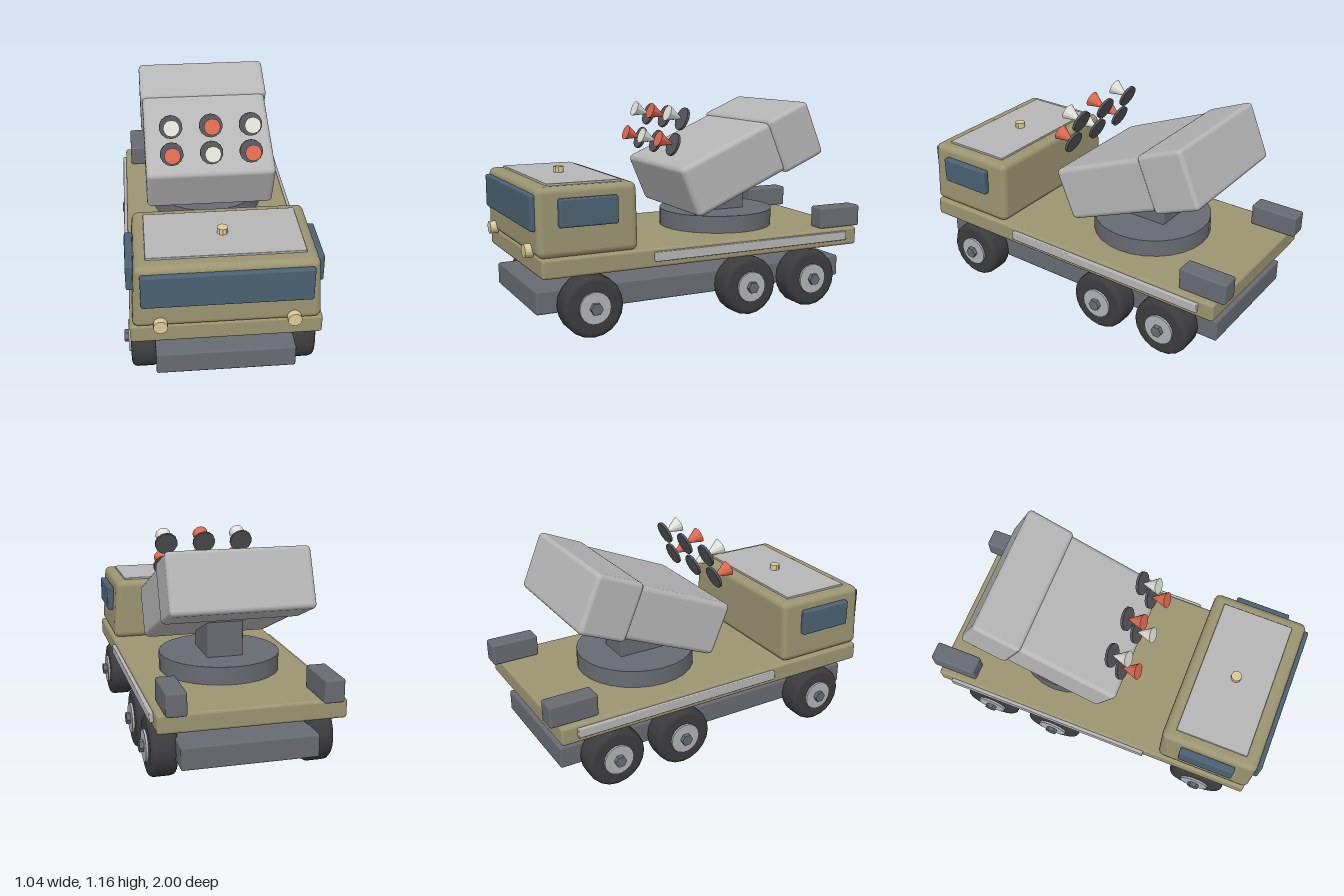
import * as THREE from 'three';
import { RoundedBoxGeometry } from 'three/addons/geometries/RoundedBoxGeometry.js';

const mat = (color, flatShading = false) => new THREE.MeshStandardMaterial({ color, flatShading });
const olive = mat(0x9c9572);
const grey = mat(0xb6b6b6);
const steel = mat(0x686b72);
const steelFlat = mat(0x686b72, true);
const glass = mat(0x4b6172);
const rubber = mat(0x3c3c3e);
const rimGrey = mat(0xb0b3b6, true);
const cream = mat(0xdccb98, true);
const red = mat(0xe06a52, true);
const white = mat(0xe4e4dc, true);
const charcoal = mat(0x55565a, true);

function add(parent, name, geometry, material, x = 0, y = 0, z = 0) {
  const mesh = new THREE.Mesh(geometry, material);
  mesh.name = name;
  mesh.position.set(x, y, z);
  parent.add(mesh);
  return mesh;
}

// Box given by its lower and upper corners, with rounded edges
function block(parent, name, material, [x0, y0, z0], [x1, y1, z1], radius = 0.01, segments = 2) {
  const geometry = new RoundedBoxGeometry(x1 - x0, y1 - y0, z1 - z0, segments, radius);
  return add(parent, name, geometry, material, (x0 + x1) / 2, (y0 + y1) / 2, (z0 + z1) / 2);
}

// Wheel lying along y, turned so that its outer face points to +x
function makeWheel() {
  const wheel = new THREE.Group();
  const r = 0.165, h = 0.071, c = 0.03;
  const profile = [[0, -h], [r - c, -h]];
  for (let i = 1; i <= 3; i++) {
    const a = (i / 3) * Math.PI / 2;
    profile.push([r - c + c * Math.sin(a), -h + c - c * Math.cos(a)]);
  }
  for (let i = 0; i <= 3; i++) {
    const a = (i / 3) * Math.PI / 2;
    profile.push([r - c + c * Math.cos(a), h - c + c * Math.sin(a)]);
  }
  profile.push([0, h]);
  const points = profile.map(([x, y]) => new THREE.Vector2(x, y));
  add(wheel, 'tire', new THREE.LatheGeometry(points, 20), rubber);
  add(wheel, 'rim', new THREE.CylinderGeometry(0.085, 0.085, 0.166, 18), rimGrey);
  add(wheel, 'hubNut', new THREE.CylinderGeometry(0.033, 0.033, 0.1, 6), steelFlat, 0, 0.056, 0);
  return wheel;
}

function makeCab() {
  const cab = new THREE.Group();
  cab.name = 'cab';
  // Body narrows slightly towards the roof
  const body = block(cab, 'cabBody', olive, [-0.475, 0.44, 0.425], [0.475, 0.795, 0.965], 0.035, 2);
  const pos = body.geometry.attributes.position;
  for (let i = 0; i < pos.count; i++) {
    pos.setX(i, pos.getX(i) * (0.975 - 0.13 * pos.getY(i)));
  }
  block(cab, 'roofPlate', grey, [-0.395, 0.785, 0.49], [0.395, 0.806, 0.892], 0.004, 1);
  add(cab, 'beacon', new THREE.CylinderGeometry(0.029, 0.029, 0.04, 10), cream, 0, 0.817, 0.693);
  block(cab, 'windshield', glass, [-0.425, 0.575, 0.94], [0.425, 0.76, 0.99], 0.012);
  for (const s of [-1, 1]) {
    const window = block(cab, 'sideWindow', glass, [-0.02, 0.595, 0.545], [0.02, 0.74, 0.858], 0.01);
    window.position.x = s * 0.475;
    const lamp = add(cab, 'headlight', new THREE.CylinderGeometry(0.036, 0.036, 0.045, 16), cream, s * 0.333, 0.465, 0.9775);
    lamp.rotation.x = Math.PI / 2;
  }
  return cab;
}

function makeLauncher() {
  const launcher = new THREE.Group();
  launcher.name = 'launcher';
  launcher.position.set(0, 0.692, 0.062);
  launcher.rotation.x = 0.4;
  block(launcher, 'launcherBox', grey, [-0.365, -0.15, -0.62], [0.365, 0.15, 0.01], 0.03);
  block(launcher, 'launcherRearCap', grey, [-0.377, -0.163, -0.855], [0.377, 0.163, -0.575], 0.025);
  return launcher;
}

// Dark ring plate with a cone whose wide end faces forward and up
function makeRocket(material) {
  const rocket = new THREE.Group();
  rocket.name = 'rocket';
  rocket.rotation.x = -0.37;
  const plate = add(rocket, 'tubePlate', new THREE.CylinderGeometry(0.065, 0.065, 0.014, 14), charcoal);
  const nose = add(rocket, 'noseCone', new THREE.ConeGeometry(0.045, 0.098, 12), material, 0, 0, 0.05);
  plate.rotation.x = Math.PI / 2;
  nose.rotation.x = -Math.PI / 2;
  return rocket;
}

export function createModel() {
  const model = new THREE.Group();
  model.name = 'launcherTruck';

  // Chassis and deck
  block(model, 'chassis', steel, [-0.36, 0.127, -0.92], [0.36, 0.25, 0.95], 0.01, 1);
  block(model, 'deck', olive, [-0.485, 0.34, -0.955], [0.485, 0.443, 0.952], 0.016);
  model.add(makeCab());

  // Mirrored side parts
  for (const s of [-1, 1]) {
    const rail = block(model, 'sideRail', grey, [-0.015, 0.375, -0.87], [0.015, 0.426, 0.345], 0.005, 1);
    rail.position.x = s * 0.49;
    const box = block(model, 'rearBox', steel, [-0.053, 0.44, -1], [0.053, 0.563, -0.73], 0.012);
    box.position.x = s * 0.397;
    for (const z of [0.68, -0.242, -0.647]) {
      const wheel = makeWheel();
      wheel.name = 'wheel';
      wheel.position.set(s * 0.415, 0.168, z);
      wheel.rotation.z = -s * Math.PI / 2;
      model.add(wheel);
    }
  }

  // Turntable, pedestal and launcher
  add(model, 'turntable', new THREE.CylinderGeometry(0.332, 0.332, 0.1, 28), steel, 0, 0.49, -0.28);
  block(model, 'pedestal', steel, [-0.1, 0.53, -0.418], [0.1, 0.78, -0.145], 0.01, 1);
  model.add(makeLauncher());

  // Two rows of three rockets in alternating colours
  [[1.086, 0.051], [0.948, 0.107]].forEach(([y, z], row) => {
    [-0.22, 0, 0.22].forEach((x, col) => {
      const rocket = makeRocket((row + col) % 2 ? red : white);
      rocket.position.set(x, y, z);
      model.add(rocket);
    });
  });
  return model;
}
